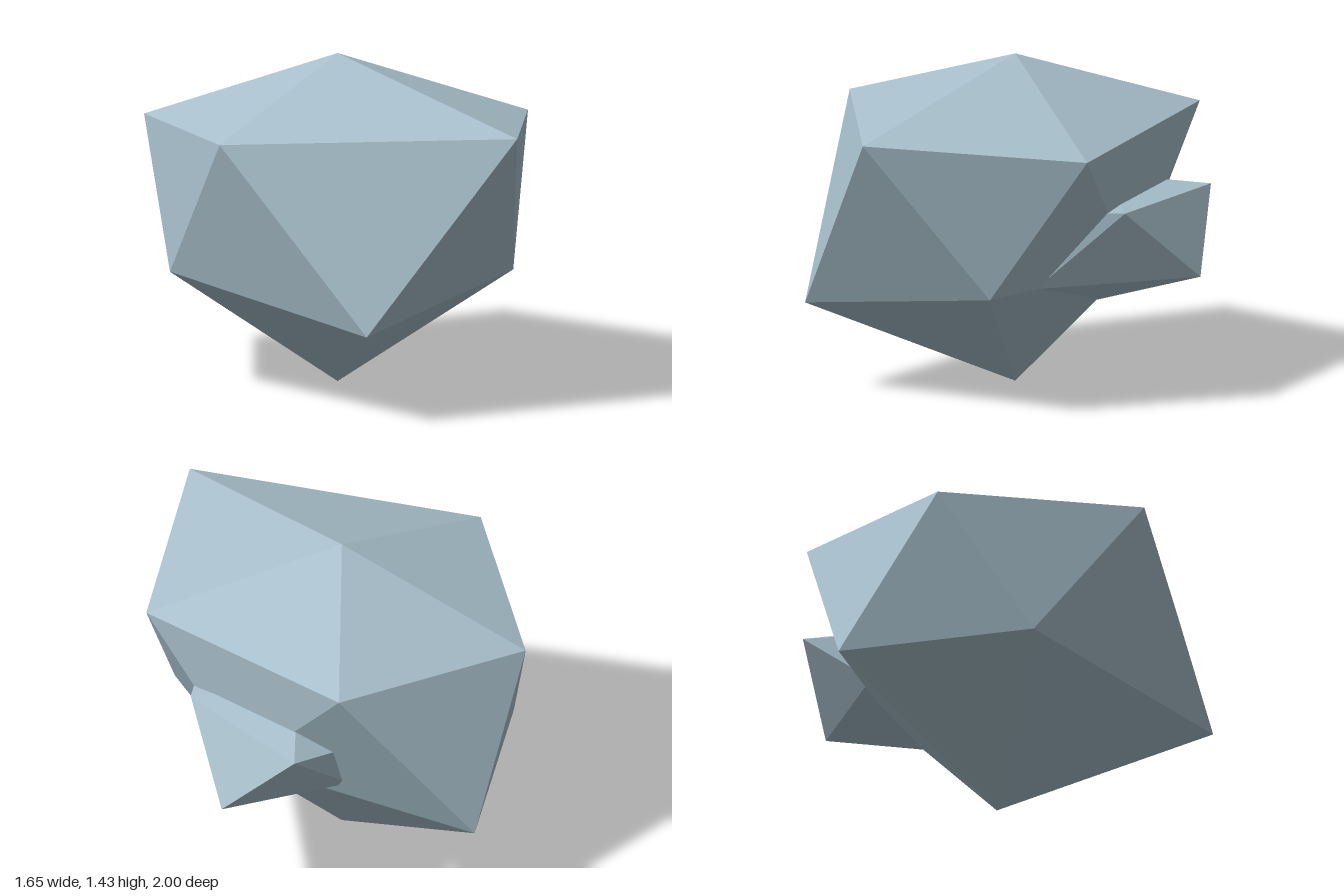
import * as THREE from 'three';

// Uneven twenty-sided rock: a tip, two staggered rings of five corners and an opposite tip
function rockGeometry(tip, ringA, ringB, base) {
  const positions = [];
  const face = (...corners) => corners.forEach((c) => positions.push(...c));
  for (let i = 0; i < 5; i++) {
    const j = (i + 1) % 5;
    face(tip, ringA[i], ringA[j]);
    face(ringA[i], ringB[i], ringA[j]);
    face(ringA[j], ringB[i], ringB[j]);
    face(base, ringB[j], ringB[i]);
  }
  const geometry = new THREE.BufferGeometry();
  geometry.setAttribute('position', new THREE.Float32BufferAttribute(positions, 3));
  geometry.computeVertexNormals();
  return geometry;
}

export function createModel() {
  const group = new THREE.Group();
  group.name = 'rockCluster';
  const stone = new THREE.MeshStandardMaterial({ color: 0xa8c0cc, flatShading: true });
  stone.name = 'paleBlueStone';

  const addRock = (name, ...corners) => {
    const mesh = new THREE.Mesh(rockGeometry(...corners), stone);
    mesh.name = name;
    group.add(mesh);
  };

  // Large boulder, tip upwards
  addRock(
    'boulder',
    [-0.01, 1.435, -0.07],
    [[-0.83, 1.18, -0.04], [-0.095, 1.23, 1.0], [0.67, 1.14, 0.42], [0.54, 1.18, -0.67], [-0.37, 1.12, -0.845]],
    [[-0.635, 0.4, 0.615], [0.315, 0.535, 0.635], [0.56, 0.57, -0.09], [0.06, 0.45, -1.0], [-0.61, 0.52, -0.5]],
    [-0.01, 0, -0.07],
  );

  // Small rock half sunk into the boulder's left side, tip pointing sideways
  addRock(
    'sideRock',
    [0.823, 0.53, -0.235],
    [[0.68, 0.86, -0.54], [0.675, 0.86, 0.13], [0.39, 0.545, 0.39], [0.3, 0.375, -0.07], [0.325, 0.575, -0.5]],
    [[0.36, 0.93, -0.2], [0.35, 0.88, 0.38], [0.2, 0.5, 0.25], [0.15, 0.45, -0.3], [0.3, 0.77, -0.52]],
    [0.05, 0.7, -0.1],
  );

  return group;
}
